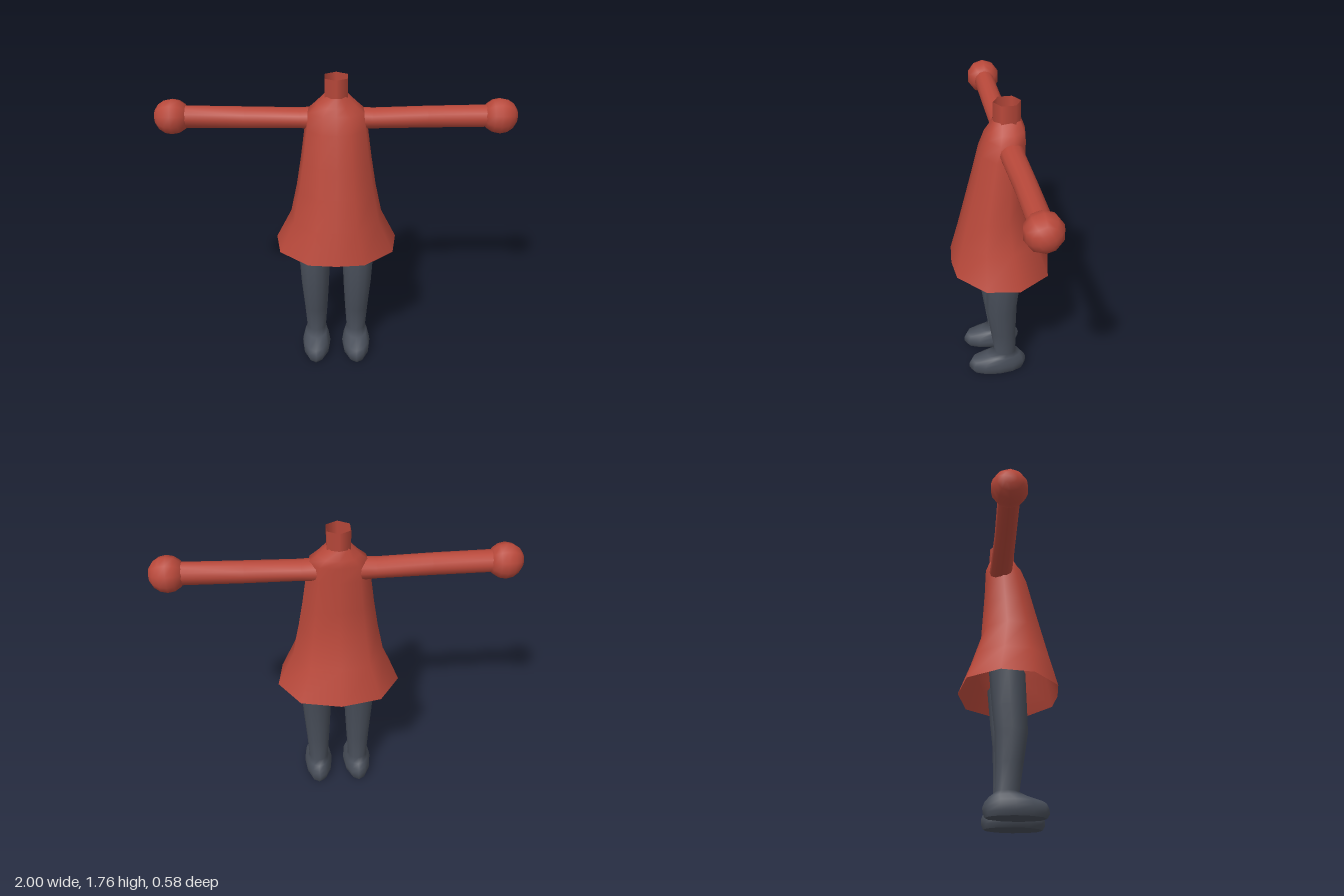
import * as THREE from 'three';

// Unit outline of the dress: right half from back to front, mirrored for the other half
const half = [[0, -1], [0.65, -0.83], [1, -0.2], [0.92, 0.45], [0.45, 0.95], [0, 1]];
const dressOutline = [...half, ...half.slice(1, -1).reverse().map(([x, z]) => [-x, z])];
const roundOutline = Array.from({ length: 12 }, (_, i) => {
  const a = (i / 12) * Math.PI * 2;
  return [Math.sin(a), -Math.cos(a)];
});

// Skin through horizontal rings [y, xMin, xMax, zBack, zFront], bottom to top
function loft(outline, rings, capped) {
  const n = outline.length, pos = [], index = [];
  const addRing = ([y, x0, x1, z0, z1]) => {
    for (const [x, z] of outline) {
      pos.push((x0 + x1) / 2 + x * (x1 - x0) / 2, y, (z0 + z1) / 2 + z * (z1 - z0) / 2);
    }
  };
  rings.forEach(addRing);
  for (let r = 0; r < rings.length - 1; r++) {
    for (let i = 0; i < n; i++) {
      const a = r * n + i, b = r * n + (i + 1) % n;
      index.push(a, a + n, b, b, a + n, b + n);
    }
  }
  if (capped) {
    for (const [ring, top] of [[rings[0], false], [rings[rings.length - 1], true]]) {
      const s = pos.length / 3;
      addRing(ring);
      for (let i = 1; i < n - 1; i++) {
        index.push(s, top ? s + i + 1 : s + i, top ? s + i : s + i + 1);
      }
    }
  }
  const g = new THREE.BufferGeometry();
  g.setAttribute('position', new THREE.Float32BufferAttribute(pos, 3));
  g.setIndex(index);
  g.computeVertexNormals();
  return g;
}

export function createModel() {
  const model = new THREE.Group();
  const red = new THREE.MeshStandardMaterial({ color: 0xb8483a, side: THREE.DoubleSide });
  red.name = 'red cloth';
  const grey = new THREE.MeshStandardMaterial({ color: 0x474d58 });
  grey.name = 'dark grey';
  const add = (name, geometry, material) => {
    const mesh = new THREE.Mesh(geometry, material);
    mesh.name = name;
    model.add(mesh);
    return mesh;
  };

  // Flared dress, open at the hem: [y, half width, back, front]
  const dress = [
    [0.76, 0.353, -0.29, 0.29], [0.95, 0.262, -0.218, 0.245], [1.13, 0.225, -0.16, 0.2],
    [1.3, 0.198, -0.15, 0.158], [1.48, 0.174, -0.14, 0.115], [1.57, 0.163, -0.14, 0.08],
    [1.61, 0.115, -0.135, 0.06], [1.66, 0.064, -0.115, 0.04],
  ];
  add('dress', loft(dressOutline, dress.map(([y, w, b, f]) => [y, -w, w, b, f])), red);

  // Open six-sided neck
  const neck = new THREE.CylinderGeometry(0.076, 0.076, 0.12, 6, 1, true);
  add('neck', neck.scale(0.96, 1, 1), red).position.set(0, 1.7, -0.038);

  // Arm rings along the arm: [distance from centre, centre height, centre z, radius y, radius z]
  const arm = [
    [0.06, 1.52, -0.04, 0.065, 0.07], [0.2, 1.52, -0.042, 0.056, 0.066],
    [0.5, 1.525, -0.047, 0.06, 0.061], [0.84, 1.53, -0.047, 0.062, 0.06],
  ];
  // Leg and foot rings: [y, inner x, outer x, back, front]
  const leg = [
    [0, 0.058, 0.195, -0.13, 0.2], [0.025, 0.04, 0.208, -0.14, 0.215],
    [0.055, 0.037, 0.21, -0.143, 0.214], [0.085, 0.046, 0.205, -0.132, 0.198],
    [0.115, 0.056, 0.192, -0.108, 0.105], [0.14, 0.065, 0.182, -0.077, 0.054],
    [0.3, 0.054, 0.194, -0.077, 0.078], [0.48, 0.044, 0.21, -0.081, 0.104],
    [0.62, 0.039, 0.219, -0.096, 0.1], [0.84, 0.036, 0.225, -0.115, 0.092],
  ];

  for (const [side, s] of [['left', 1], ['right', -1]]) {
    // Lofted upright, then laid down along x
    const g = loft(roundOutline, arm.map(([d, y, z, ry, rz]) => [d, -y - ry, -y + ry, z - rz, z + rz]), true);
    g.rotateZ(-Math.PI / 2);
    if (s < 0) g.rotateY(Math.PI).translate(0, 0, -0.09);
    // The quarter turn sends -x to +y, so heights come out positive
    add(side + 'Arm', g, red);

    const hand = new THREE.SphereGeometry(0.1, 10, 8).rotateZ(Math.PI / 2);
    add(side + 'Hand', hand, red).position.set(s * 0.9, 1.53, -0.045);

    const rings = leg.map(([y, a, b, z0, z1]) => (s > 0 ? [y, a, b, z0, z1] : [y, -b, -a, z0, z1]));
    add(side + 'Leg', loft(roundOutline, rings, true), grey);
  }
  return model;
}
